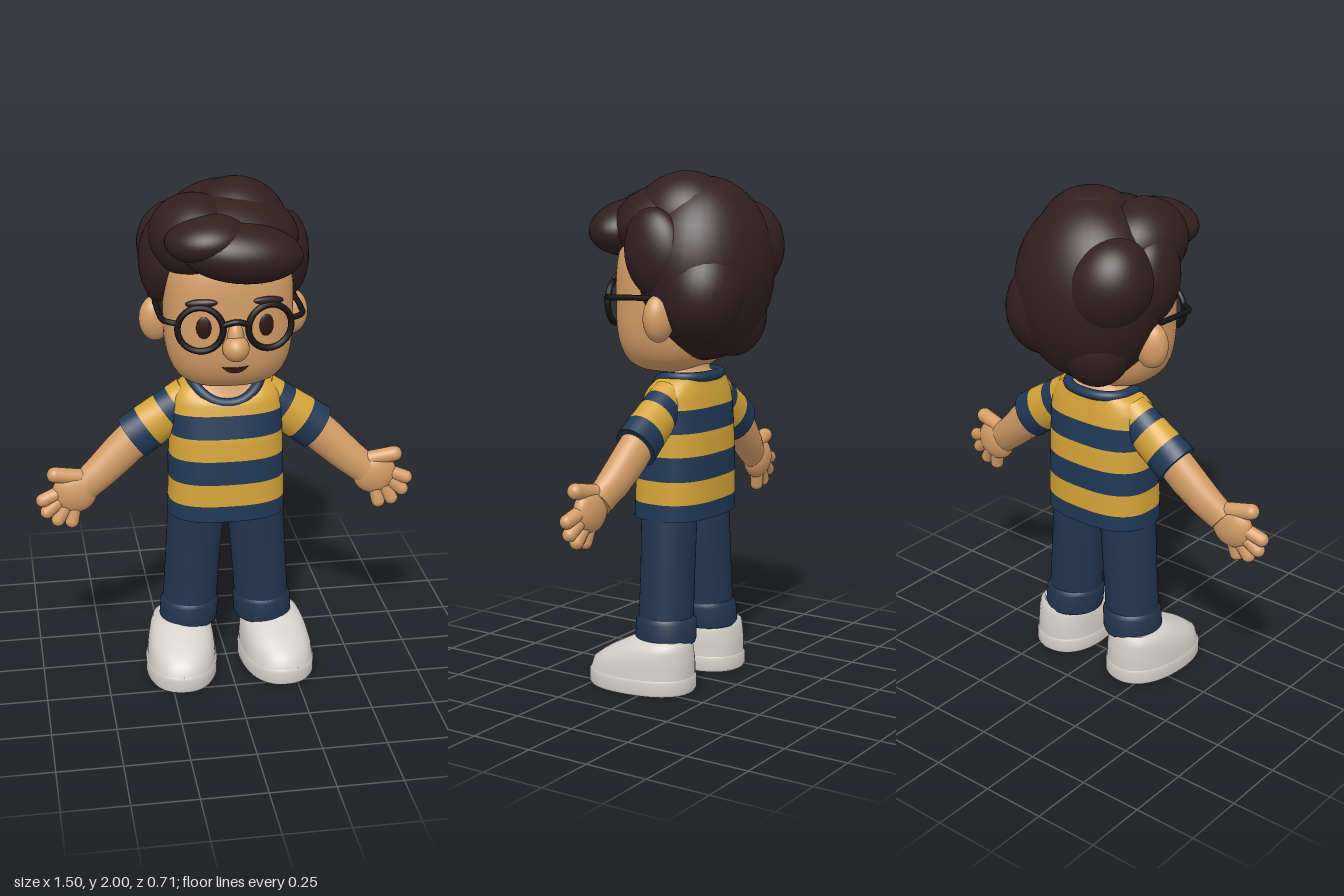
import * as THREE from 'three';
import { mergeVertices } from 'three/addons/utils/BufferGeometryUtils.js';

const mat = (name, color, side = THREE.FrontSide) => {
  const m = new THREE.MeshStandardMaterial({ color, side });
  m.name = name;
  return m;
};
const V = (x, y, z) => new THREE.Vector3(x, y, z);
const spow = (v, e) => Math.sign(v) * Math.abs(v) ** e;

// Skin through closed rings (counter-clockwise from +x to +z, rising along the axis)
function loft(rings, capStart = false, capEnd = false) {
  const pos = [], idx = [], n = rings[0].length;
  rings.forEach(r => r.forEach(p => pos.push(p.x, p.y, p.z)));
  for (let i = 0; i < rings.length - 1; i++) {
    for (let j = 0; j < n; j++) {
      const a = i * n + j, b = i * n + (j + 1) % n;
      idx.push(a, a + n, b, b, a + n, b + n);
    }
  }
  const cap = (ring, flip) => {
    const base = pos.length / 3, c = V(0, 0, 0);
    ring.forEach(p => { c.add(p); pos.push(p.x, p.y, p.z); });
    c.divideScalar(n);
    pos.push(c.x, c.y, c.z);
    for (let j = 0; j < n; j++) {
      const a = base + j, b = base + (j + 1) % n;
      idx.push(base + n, ...(flip ? [a, b] : [b, a]));
    }
  };
  if (capStart) cap(rings[0], true);
  if (capEnd) cap(rings[rings.length - 1], false);
  const g = new THREE.BufferGeometry();
  g.setAttribute('position', new THREE.Float32BufferAttribute(pos, 3));
  g.setIndex(idx);
  g.computeVertexNormals();
  return g;
}

// Horizontal rounded ring; dip lowers its front
function ring(y, cx, cz, hx, hz, power = 2, dip = 0, n = 48) {
  return Array.from({ length: n }, (_, j) => {
    const t = j / n * Math.PI * 2, s = Math.sin(t);
    return V(cx + hx * spow(Math.cos(t), 2 / power), y - dip * Math.max(0, s) ** 2,
      cz + hz * spow(s, 2 / power));
  });
}

// Limb in the xy plane, stations [x, y, z, radius in plane, radius in z]
function limb(st, capStart = true, capEnd = true) {
  return loft(st.map((p, i) => {
    const a = st[Math.max(i - 1, 0)], b = st[Math.min(i + 1, st.length - 1)];
    const d = V(b[0] - a[0], b[1] - a[1], 0).normalize();
    return Array.from({ length: 28 }, (_, j) => {
      const t = j / 28 * Math.PI * 2, c = Math.cos(t) * p[3];
      return V(p[0] + d.y * c, p[1] - d.x * c, p[2] + Math.sin(t) * p[4]);
    });
  }), capStart, capEnd);
}

// Torso section at height y, read from rows [y, half width, centre z, half depth, dip]
const TORSO = [[0.675, 0.232, -0.01, 0.158, 0], [0.85, 0.228, -0.013, 0.155, 0],
  [1.0, 0.223, -0.016, 0.147, 0], [1.105, 0.222, -0.02, 0.132, 0],
  [1.16, 0.212, -0.022, 0.122, 0.01], [1.2, 0.185, -0.024, 0.112, 0.035], [1.228, 0.14, -0.025, 0.11, 0.078]];
function torsoRing(y) {
  let i = 0;
  while (i < TORSO.length - 2 && y > TORSO[i + 1][0]) i++;
  const a = TORSO[i], b = TORSO[i + 1], t = (y - a[0]) / (b[0] - a[0]);
  const [hx, cz, hz, dip] = [1, 2, 3, 4].map(k => a[k] + (b[k] - a[k]) * t);
  return ring(y, 0, cz, hx, hz, 2.6, dip);
}

// Rounded-box head and its front surface
const HEAD = { y: 1.52, z: 0.04, rx: 0.245, ry: 0.29, rz: 0.19, p: 3.3, q: 2.6 };
function headGeometry() {
  let g = new THREE.SphereGeometry(1, 64, 48);
  g.deleteAttribute('uv');
  g.deleteAttribute('normal');
  g = mergeVertices(g, 1e-4);
  const P = g.attributes.position;
  for (let i = 0; i < P.count; i++) {
    const x = P.getX(i), y = P.getY(i), z = P.getZ(i), h = Math.hypot(x, z) || 1e-9;
    const H = h ** (2 / HEAD.p);
    P.setXYZ(i, HEAD.rx * H * spow(x / h, 2 / HEAD.q), HEAD.y + HEAD.ry * spow(y, 2 / HEAD.p),
      HEAD.z + HEAD.rz * H * spow(z / h, 2 / HEAD.q));
  }
  g.computeVertexNormals();
  return g;
}
function faceZ(x, y) {
  const H = (1 - Math.abs((y - HEAD.y) / HEAD.ry) ** HEAD.p) ** (1 / HEAD.p);
  return HEAD.z + HEAD.rz * H * (1 - Math.abs(x / HEAD.rx / H) ** HEAD.q) ** (1 / HEAD.q);
}

export function createModel() {
  const root = new THREE.Group();
  root.name = 'boy';
  const skin = mat('skin', 0xd39c66), hair = mat('dark brown hair', 0x321f20);
  const navy = mat('navy stripe', 0x1f3855), yellow = mat('yellow stripe', 0xd6a438);
  const denim = mat('blue trousers', 0x21354f), shoe = mat('pale shoe', 0xd3cfca);
  const black = mat('black frame', 0x161415), eyeMat = mat('eye brown', 0x2b1714);
  const add = (name, geo, material, parent = root) => {
    const m = new THREE.Mesh(geo, material);
    m.name = name;
    parent.add(m);
    return m;
  };
  const ball = (name, material, c, r, rot = [0, 0, 0]) => {
    const m = add(name, new THREE.SphereGeometry(1, 36, 24), material);
    m.position.set(...c);
    m.scale.set(...r);
    m.rotation.set(...rot);
    return m;
  };
  const tube = (name, pts, r, material, closed = false) => add(name,
    new THREE.TubeGeometry(new THREE.CatmullRomCurve3(pts, closed), closed ? 64 : 20, r, 10, closed), material);

  // Striped shirt body
  const cuts = [0.675, 0.74, 0.83, 0.925, 1.015, 1.105, 1.228];
  for (let i = 0; i < 6; i++) {
    const rings = Array.from({ length: 9 }, (_, k) => torsoRing(cuts[i] + (cuts[i + 1] - cuts[i]) * k / 8));
    add('shirtStripe', loft(rings, i === 0), i % 2 ? yellow : navy);
  }
  tube('collar', ring(1.222, 0, -0.025, 0.136, 0.108, 2.3, 0.075, 32), 0.02, navy, true);
  add('neck', loft([ring(1.22, 0, -0.025, 0.135, 0.105, 2.3, 0.075), ring(1.235, 0, -0.024, 0.105, 0.075, 2, 0.03),
    ring(1.27, 0, -0.024, 0.1, 0.068), ring(1.35, 0, -0.024, 0.1, 0.068)]), skin);

  for (const s of [1, -1]) {
    // Sleeve in bands from shoulder to cuff
    const sleeve = t => [s * (0.14 + 0.225 * t), 1.145 - 0.16 * t, -0.03 + 0.005 * t, 0.083 + 0.012 * t, 0.07 + 0.008 * t];
    [[0, 0.2, yellow], [0.2, 0.4, navy], [0.4, 0.72, yellow], [0.72, 1, navy]].forEach(([a, b, m]) =>
      add('sleeveBand', limb([sleeve(a), sleeve((a + b) / 2), sleeve(b)], a === 0, b === 1), m));
    // Forearm and hand
    add('arm', limb([[s * 0.33, 1.01, -0.025, 0.076, 0.062], [s * 0.41, 0.935, -0.018, 0.075, 0.062],
      [s * 0.49, 0.862, -0.005, 0.068, 0.058], [s * 0.56, 0.805, 0.01, 0.062, 0.046]]), skin);
    ball('palm', skin, [s * 0.6, 0.785, 0.015], [0.088, 0.085, 0.045]);
    const finger = (name, from, to, r) => {
      const a = V(s * from[0], from[1], from[2]), b = V(s * to[0], to[1], to[2]), d = b.clone().sub(a);
      const m = add(name, new THREE.CapsuleGeometry(r, d.length(), 8, 16), skin);
      m.position.copy(a).add(b).multiplyScalar(0.5);
      m.quaternion.setFromUnitVectors(V(0, 1, 0), d.normalize());
    };
    finger('thumb', [0.56, 0.845, 0.01], [0.675, 0.868, 0.025], 0.031);
    [[0.725, 0.765], [0.71, 0.715], [0.668, 0.678], [0.615, 0.668]].forEach(([x, y], i) =>
      finger('finger', [0.63 - i * 0.012, 0.8 - i * 0.012, 0.012], [x, y, 0.028], 0.027));

    // Trouser leg with turned-up cuff
    add('leg', loft([ring(0.2, s * 0.152, -0.015, 0.108, 0.108), ring(0.45, s * 0.135, -0.015, 0.11, 0.105),
      ring(0.7, s * 0.117, -0.012, 0.114, 0.107)], true, true), denim);
    add('legCuff', loft([ring(0.185, s * 0.153, -0.018, 0.112, 0.116), ring(0.2, s * 0.153, -0.018, 0.117, 0.121),
      ring(0.27, s * 0.148, -0.017, 0.117, 0.119), ring(0.287, s * 0.147, -0.016, 0.108, 0.106)], true), denim);

    // Shoe with a separate sole
    const foot = new THREE.Group();
    foot.name = 'shoe';
    foot.position.x = s * 0.187;
    foot.rotation.y = s * 0.1;
    root.add(foot);
    const shoeRing = (y, cz, hx, hz) => ring(y, 0, cz, hx, hz, 2.3);
    add('sole', loft([shoeRing(0, 0.065, 0.138, 0.214), shoeRing(0.01, 0.065, 0.144, 0.22),
      shoeRing(0.055, 0.065, 0.144, 0.22), shoeRing(0.066, 0.065, 0.137, 0.213)], true, true), shoe, foot);
    add('shoeUpper', loft([shoeRing(0.06, 0.065, 0.139, 0.215), shoeRing(0.105, 0.057, 0.136, 0.207),
      shoeRing(0.135, 0.038, 0.131, 0.185), shoeRing(0.165, 0.015, 0.124, 0.157),
      shoeRing(0.192, -0.01, 0.112, 0.128), shoeRing(0.205, -0.017, 0.09, 0.108)], false, true), shoe, foot);

    // Ears, eyes and brows
    ball('ear', skin, [s * 0.262, 1.46, -0.06], [0.066, 0.09, 0.052], [0, s * -0.2, 0]);
    ball('eye', eyeMat, [s * 0.117, 1.505, faceZ(0.117, 1.505) + 0.002], [0.028, 0.042, 0.007], [0, s * 0.2, 0]);
    ball('eyebrow', hair, [s * 0.125, 1.598, faceZ(0.125, 1.598)], [0.06, 0.016, 0.014], [0, s * 0.25, s * -0.08]);

    // Glasses
    const rim = add('glassesRim', new THREE.TorusGeometry(0.084, 0.012, 10, 48), black);
    rim.position.set(s * 0.13, 1.5, 0.222);
    rim.rotation.y = s * 0.18;
    tube('glassesArm', [V(s * 0.212, 1.522, 0.206), V(s * 0.258, 1.526, 0.175), V(s * 0.268, 1.53, 0.1),
      V(s * 0.268, 1.535, -0.03)], 0.011, black);
  }
  tube('glassesBridge', [V(-0.052, 1.515, 0.237), V(0, 1.53, 0.248), V(0.052, 1.515, 0.237)], 0.011, black);

  // Head, nose and mouth
  add('head', headGeometry(), skin);
  ball('nose', skin, [0, 1.425, 0.237], [0.05, 0.05, 0.055]);
  ball('noseBridge', skin, [0, 1.465, 0.222], [0.032, 0.065, 0.035], [-0.2, 0, 0]);
  const lip = new THREE.Shape();
  lip.moveTo(-0.05, 0.01);
  lip.quadraticCurveTo(0, 0, 0.05, 0.01);
  lip.quadraticCurveTo(0.03, -0.016, 0, -0.016);
  lip.quadraticCurveTo(-0.03, -0.016, -0.05, 0.01);
  add('mouth', new THREE.ExtrudeGeometry(lip, { depth: 0.009, bevelEnabled: false }), eyeMat)
    .position.set(0, 1.338, faceZ(0, 1.338) - 0.004);

  // Hair built from overlapping swept locks
  [['hairBack', [0, 1.63, -0.1], [0.298, 0.35, 0.255]],
    ['hairCap', [0, 1.79, 0.02], [0.27, 0.17, 0.24]],
    ['hairCrown', [0.04, 1.8, -0.04], [0.205, 0.2, 0.205]],
    ['hairTopLock', [-0.13, 1.81, 0.05], [0.165, 0.155, 0.2], [0, 0.2, 0.15]],
    ['quiff', [0.025, 1.782, 0.21], [0.228, 0.11, 0.145], [0, 0, -0.1]],
    ['quiffSweep', [-0.1, 1.835, 0.19], [0.155, 0.085, 0.145], [0, 0, 0.1]],
    ['sideLockLeft', [0.235, 1.7, -0.03], [0.085, 0.17, 0.13], [0.15, 0, 0]],
    ['sideLockRight', [-0.238, 1.7, -0.03], [0.09, 0.17, 0.13], [0.15, 0, 0]],
    ['backLockLeft', [0.13, 1.56, -0.17], [0.17, 0.2, 0.165], [0, 0, 0.3]],
    ['backLockRight', [-0.15, 1.7, -0.17], [0.165, 0.19, 0.165], [0, 0, 0.4]],
    ['napeLock', [-0.08, 1.46, -0.17], [0.15, 0.17, 0.13], [0, 0, -0.2]],
  ].forEach(([name, c, r, rot]) => ball(name, hair, c, r, rot));

  return root;
}
